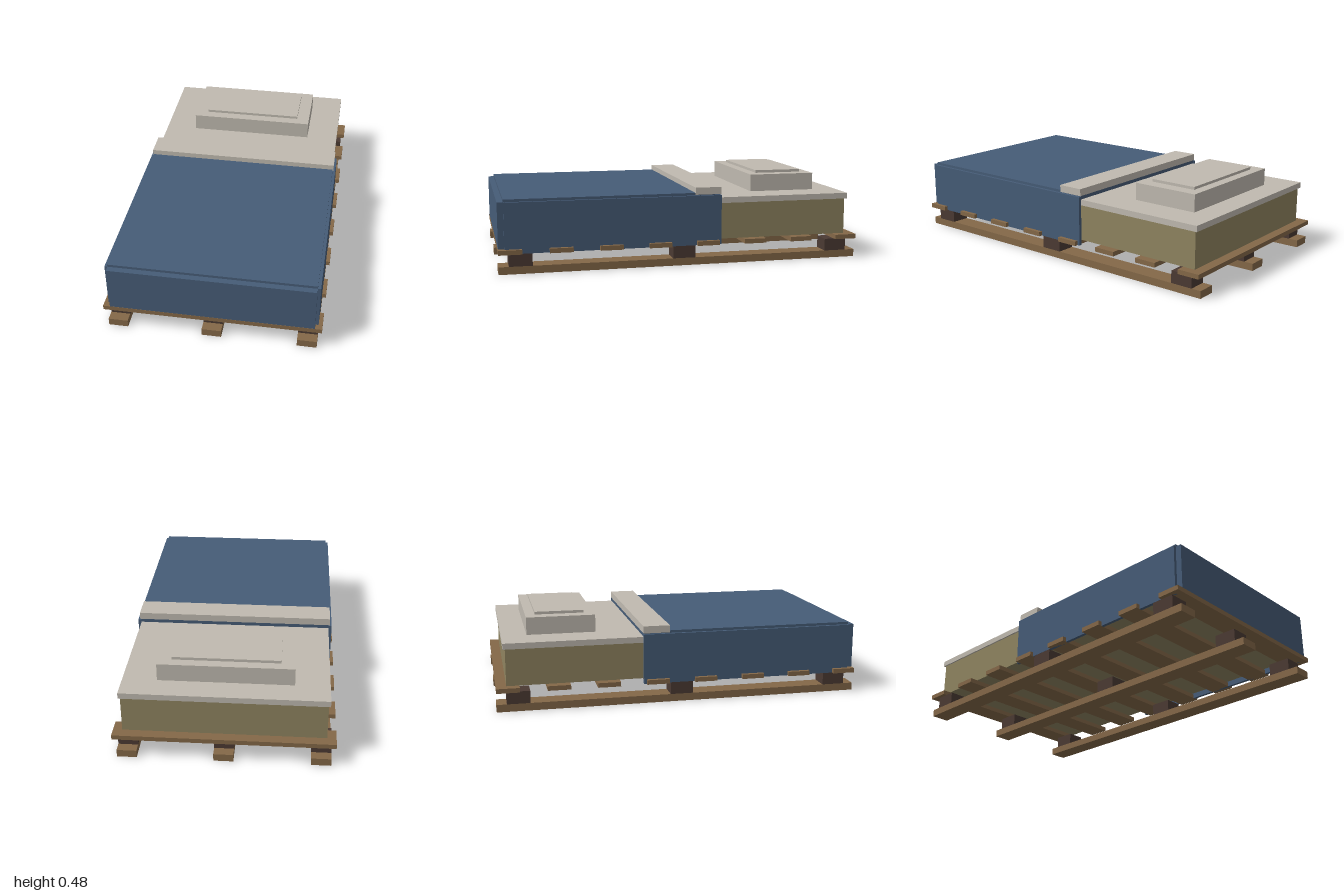
import * as THREE from 'three';

const material = (name, color) => {
  const m = new THREE.MeshStandardMaterial({ color });
  m.name = name;
  return m;
};

export function createModel() {
  const group = new THREE.Group();
  const wood = material('pallet wood', 0x846848);
  const darkWood = material('dark block wood', 0x4b3a33);
  const ticking = material('olive mattress', 0x8f8460);
  const linen = material('pale linen', 0xc0bab0);
  const blue = material('blue blanket', 0x465c77);

  // Box given by its extents along each axis
  const box = (name, mat, [x0, x1], [y0, y1], [z0, z1]) => {
    const mesh = new THREE.Mesh(new THREE.BoxGeometry(x1 - x0, y1 - y0, z1 - z0), mat);
    mesh.position.set((x0 + x1) / 2, (y0 + y1) / 2, (z0 + z1) / 2);
    mesh.name = name;
    group.add(mesh);
  };
  const around = (c, half) => [c - half, c + half];

  // Pallet: three runners, each with three spacer blocks
  for (const x of [-0.504, 0, 0.504]) {
    box('runner', wood, around(x, 0.052), [0, 0.041], [-1, 1]);
    for (const z of [-0.884, 0, 0.884]) {
      box('spacerBlock', darkWood, around(x, 0.052), [0.041, 0.108], around(z, 0.062));
    }
  }
  // Eight cross slats
  for (let i = 0; i < 8; i++) {
    box('slat', wood, [-0.578, 0.578], [0.108, 0.133], around((i - 3.5) * 0.268, 0.062));
  }

  // Mattress and fitted sheet
  box('mattress', ticking, [-0.53, 0.53], [0.133, 0.363], [-0.945, 0.945]);
  box('sheet', linen, [-0.539, 0.539], [0.333, 0.365], [-0.957, 0.95]);

  // Blanket: top, two hanging sides and the front drop
  box('blanketTop', blue, [-0.541, 0.541], [0.365, 0.395], [-0.208, 0.967]);
  for (const s of [-1, 1]) {
    box('blanketSide', blue, around(s * 0.5485, 0.0085), [0.108, 0.381], [-0.21, 0.967]);
  }
  box('blanketFront', blue, [-0.541, 0.541], [0.109, 0.381], [0.967, 0.999]);
  box('foldedSheetBand', linen, [-0.546, 0.546], [0.385, 0.424], [-0.21, -0.065]);

  // Pillow with a raised centre
  box('pillow', linen, [-0.357, 0.357], [0.365, 0.461], [-0.82, -0.443]);
  box('pillowCentre', linen, [-0.284, 0.284], [0.461, 0.476], [-0.767, -0.498]);

  return group;
}
